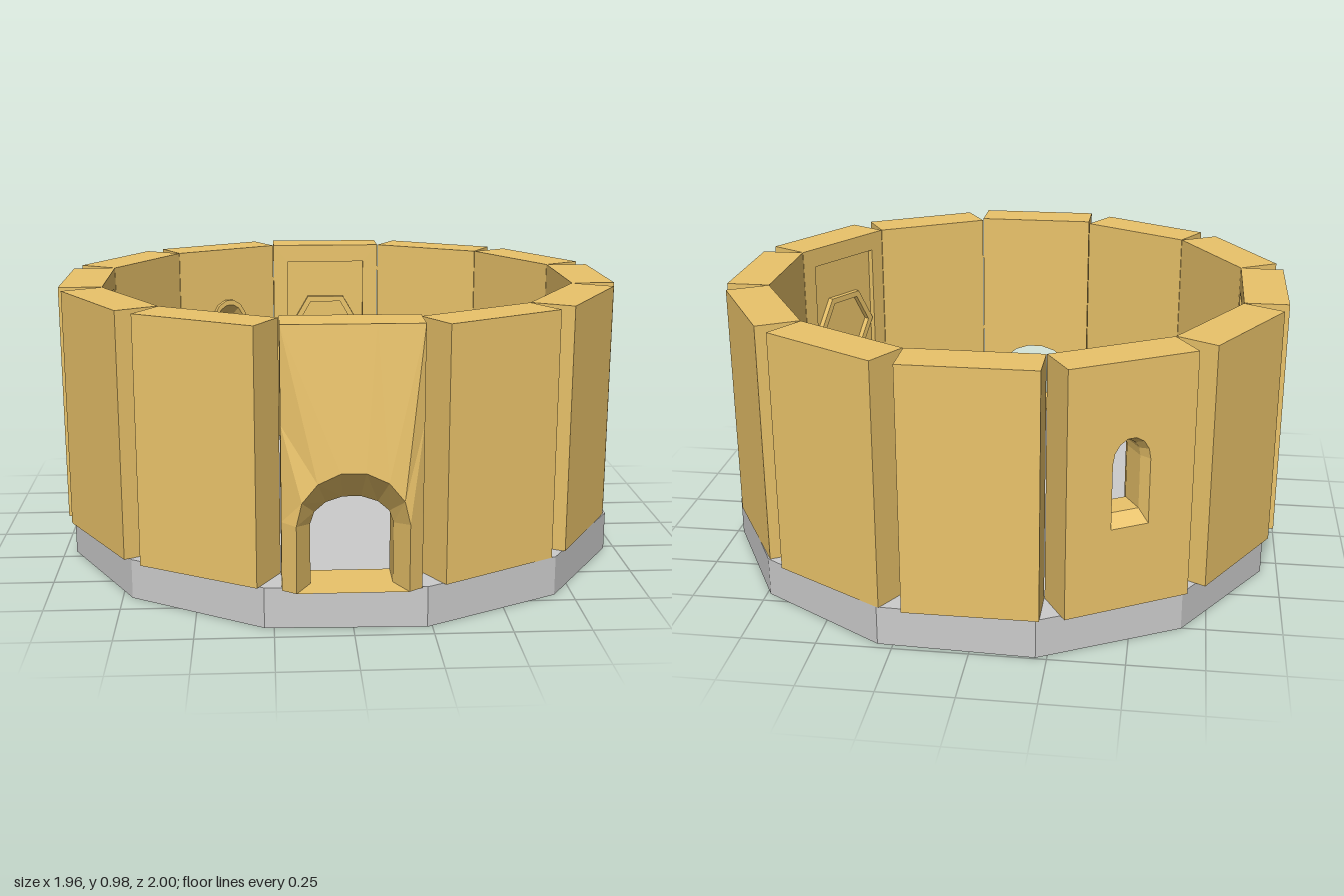
import * as THREE from 'three';

const SIDES = 12, INNER = 0.825, OUTER = 0.977, HALF_W = 0.22, BOTTOM = 0.135, TOP = 0.97;
const ARCH_STEPS = 7;

// Clockwise arch outline: up the left jamb, over the crown, down the right jamb
function archLoop(halfWidth, sill, spring, crown, z) {
  const pts = [new THREE.Vector3(-halfWidth, sill, z)];
  for (let i = 0; i <= ARCH_STEPS; i++) {
    const a = Math.PI * (1 - i / ARCH_STEPS);
    pts.push(new THREE.Vector3(halfWidth * Math.cos(a), spring + (crown - spring) * Math.sin(a), z));
  }
  pts.push(new THREE.Vector3(halfWidth, sill, z));
  return pts;
}

// Slab outline with the same number of points as archLoop
function rectLoop(spring, top, z) {
  const mid = (spring + top) / 2, w = HALF_W;
  const xy = [[-w, BOTTOM], [-w, spring], [-w, mid], [-w, top], [-w / 3, top],
    [w / 3, top], [w, top], [w, mid], [w, spring], [w, BOTTOM]];
  return xy.map(([x, y]) => new THREE.Vector3(x, y, z));
}

// Skin between consecutive closed loops, faceted
function loft(loops) {
  const tris = [];
  for (let k = 0; k + 1 < loops.length; k++) {
    const a = loops[k], b = loops[k + 1];
    for (let i = 0; i < a.length; i++) {
      const j = (i + 1) % a.length;
      tris.push(a[i], b[j], a[j], a[i], b[i], b[j]);
    }
  }
  const geo = new THREE.BufferGeometry().setFromPoints(tris);
  geo.computeVertexNormals();
  return geo;
}

function polygonPath(Type, points) {
  return new Type(points.map(([x, y]) => new THREE.Vector2(x, y)));
}

const rect = (x, y0, y1) => [[-x, y0], [x, y0], [x, y1], [-x, y1]];

function hexagon(r, cy) {
  return Array.from({ length: 6 }, (_, i) => [
    r * Math.cos(i * Math.PI / 3), cy + r * Math.sin(i * Math.PI / 3)]);
}

function plate(outline, hole, z, depth) {
  const shape = polygonPath(THREE.Shape, outline);
  shape.holes.push(polygonPath(THREE.Path, hole));
  return new THREE.ExtrudeGeometry(shape, { depth, bevelEnabled: false }).translate(0, 0, z);
}

function slab(zIn, zOut) {
  return new THREE.BoxGeometry(2 * HALF_W, TOP - BOTTOM, zOut - zIn)
    .translate(0, (TOP + BOTTOM) / 2, (zIn + zOut) / 2);
}

export function createModel() {
  const model = new THREE.Group();
  const stone = new THREE.MeshStandardMaterial({ color: 0xeac36a, flatShading: true });
  const grey = new THREE.MeshStandardMaterial({ color: 0xcccccc, flatShading: true });
  const add = (parent, name, geo, mat = stone) => {
    const mesh = new THREE.Mesh(geo, mat);
    mesh.name = name;
    parent.add(mesh);
  };

  // Twelve-sided floor
  const floor = new THREE.CylinderGeometry(0.995, 0.995, BOTTOM, SIDES, 1, false, THREE.MathUtils.degToRad(13));
  add(model, 'floor', floor.translate(0.01, BOTTOM / 2, -0.025), grey);

  // Wall pieces, each built facing +z and turned into place
  const walls = new THREE.Group();
  walls.name = 'walls';
  walls.position.set(-0.005, 0, -0.025);
  model.add(walls);

  const builders = {
    // Wall bulging towards a flared doorway
    door(g) {
      const front = rectLoop(0.36, 0.977, OUTER);
      add(g, 'doorWall', loft([
        front,
        archLoop(0.175, 0.142, 0.36, 0.53, 1.025),
        archLoop(0.13, 0.142, 0.34, 0.43, 0.94),
        archLoop(0.13, 0.142, 0.34, 0.43, INNER),
        rectLoop(0.36, 0.977, INNER),
        front,
      ]));
    },
    // Wall with a splayed window and a raised frame inside
    window(g) {
      const front = rectLoop(0.63, TOP, OUTER);
      add(g, 'windowWall', loft([
        front,
        archLoop(0.065, 0.42, 0.64, 0.72, OUTER),
        archLoop(0.048, 0.46, 0.64, 0.70, 0.94),
        archLoop(0.048, 0.46, 0.64, 0.70, 0.85),
        archLoop(0.065, 0.43, 0.66, 0.74, INNER - 0.015),
        archLoop(0.08, 0.415, 0.66, 0.76, INNER - 0.015),
        archLoop(0.08, 0.415, 0.66, 0.76, INNER),
        rectLoop(0.63, TOP, INNER),
        front,
      ]));
    },
    // Wall with a sunken panel and hexagonal ring inside
    panel(g) {
      const depth = 0.02;
      add(g, 'panelWall', slab(INNER + depth, OUTER));
      add(g, 'panelSurround', plate(rect(HALF_W, BOTTOM, TOP), rect(0.16, 0.29, 0.9), INNER, depth));
      add(g, 'hexagonRing', plate(hexagon(0.15, 0.62), hexagon(0.125, 0.62), INNER, depth));
    },
    plain(g) {
      add(g, 'plainWall', slab(INNER, OUTER));
    },
  };

  // Slot 0 faces +z, slots step 30 degrees towards +x
  const kinds = { 0: 'door', 2: 'panel', 6: 'panel', 7: 'window', 9: 'panel' };
  for (let i = 0; i < SIDES; i++) {
    const g = new THREE.Group();
    const kind = kinds[i] ?? 'plain';
    g.name = `${kind}Section`;
    g.rotation.y = i * 2 * Math.PI / SIDES;
    builders[kind](g);
    walls.add(g);
  }
  return model;
}
